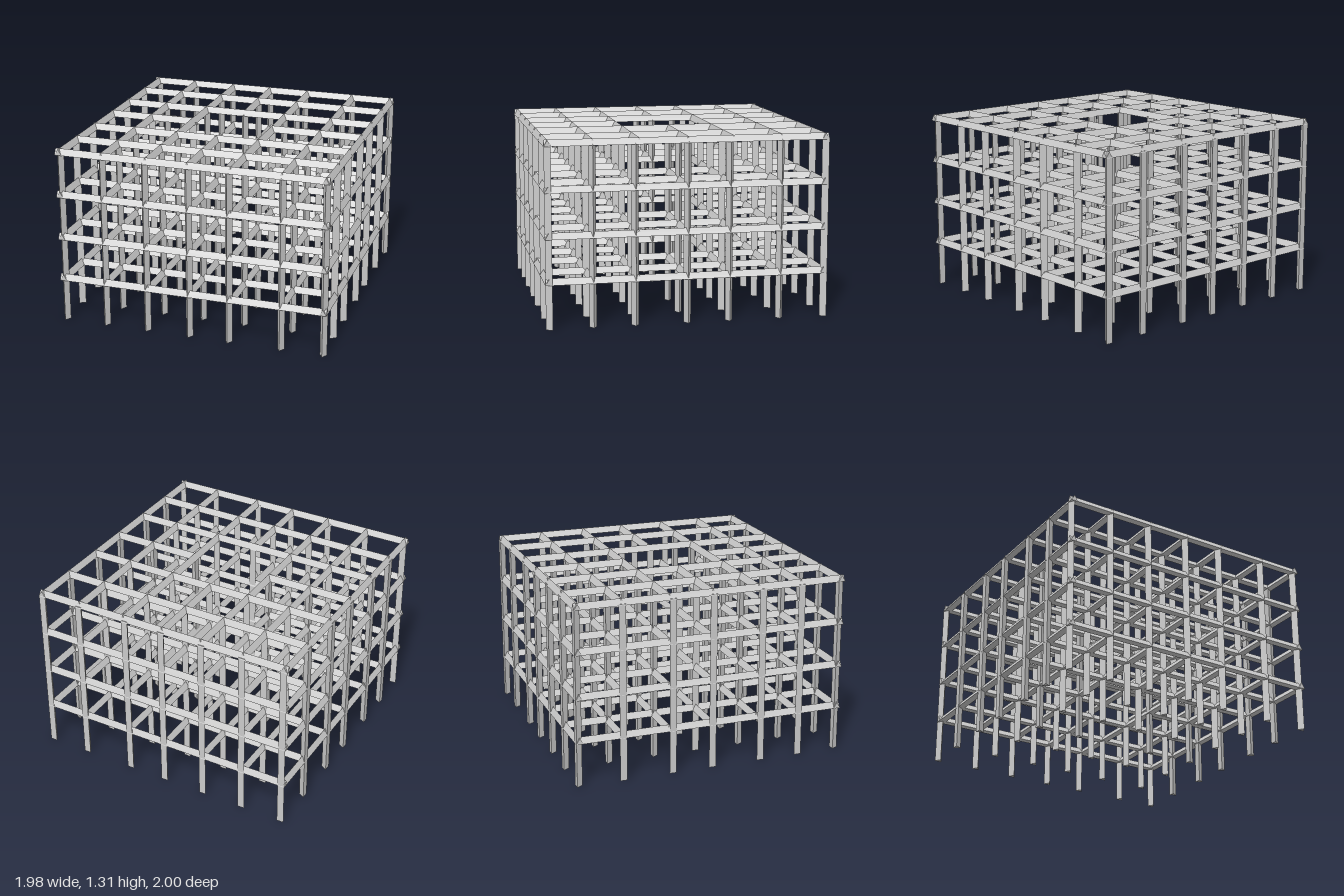
import * as THREE from 'three';

const R = 0.03; // circumradius of every triangular member
const XS = [-0.965, -0.65, -0.322, -0.016, 0.297, 0.66, 0.967]; // grid lines across
const ZS = [-0.974, -0.66, -0.315, 0.003, 0.345, 0.667, 0.974]; // grid lines in depth
const FLOOR_TOPS = [0.36, 0.676, 0.996, 1.313];
const COLUMN_TOP = 1.278;

export function createModel() {
  const model = new THREE.Group();
  const material = new THREE.MeshStandardMaterial({ color: 0xcccccc, flatShading: true });

  const add = (parent, name, geometry, x, y, z) => {
    const mesh = new THREE.Mesh(geometry, material);
    mesh.name = name;
    mesh.position.set(x, y, z);
    parent.add(mesh);
  };
  const prism = (length) => new THREE.CylinderGeometry(R, R, length, 3);

  // Beams: triangular prisms with the ridge on top
  const beamAlongZ = (parent, x, y, z0, z1) =>
    add(parent, 'beamAlongDepth', prism(z1 - z0).rotateX(-Math.PI / 2), x, y, (z0 + z1) / 2);
  const beamAlongX = (parent, z, y, x0, x1) =>
    add(parent, 'beamAlongWidth', prism(x1 - x0).rotateX(-Math.PI / 2).rotateY(Math.PI / 2), (x0 + x1) / 2, y, z);

  FLOOR_TOPS.forEach((top, level) => {
    const floor = new THREE.Group();
    floor.name = `floorFrame${level + 1}`;
    const y = top - R;
    XS.forEach((x, i) => {
      const end = i === 0 || i === 6 ? 0.998 : 0.985;
      if (i === 3) { // split around the central opening
        beamAlongZ(floor, x, y, -end, ZS[2] - 0.01);
        beamAlongZ(floor, x, y, ZS[4], end);
      } else beamAlongZ(floor, x, y, -end, end);
    });
    ZS.forEach((z, j) => {
      const end = j === 0 || j === 6 ? 0.992 : 0.975;
      if (j === 3) {
        beamAlongX(floor, z, y, -end, XS[2]);
        beamAlongX(floor, z, y, XS[4], end);
      } else beamAlongX(floor, z, y, -end, end);
    });
    model.add(floor);
  });

  // Columns: ridge towards the front, or towards the left on the side rows
  const columns = new THREE.Group();
  columns.name = 'columns';
  XS.forEach((gx, i) => ZS.forEach((gz, j) => {
    if (i === 3 && j === 3) return; // central opening
    const endRow = j === 0 || j === 6;
    const sideRow = !endRow && (i === 0 || i === 6);
    const towardsLeft = sideRow || j === 3;
    let x = gx, z = gz;
    if (endRow) {
      z = j === 0 ? -0.983 : 0.967;
      if (i === 2) x = -0.335;
      if (i === 4) x = 0.277;
    }
    if (sideRow) {
      x = i === 0 ? -0.975 : 0.96;
      if (j === 2) z = -0.295;
      if (j === 4) z = 0.372;
    }
    // the columns flanking the opening keep their backs just proud of the beams
    if (i === 3 && j === 4) z -= 0.005;
    const geometry = prism(COLUMN_TOP);
    if (towardsLeft) geometry.rotateY(Math.PI / 2);
    add(columns, 'column', geometry, x, COLUMN_TOP / 2, z);
  }));
  model.add(columns);

  return model;
}
